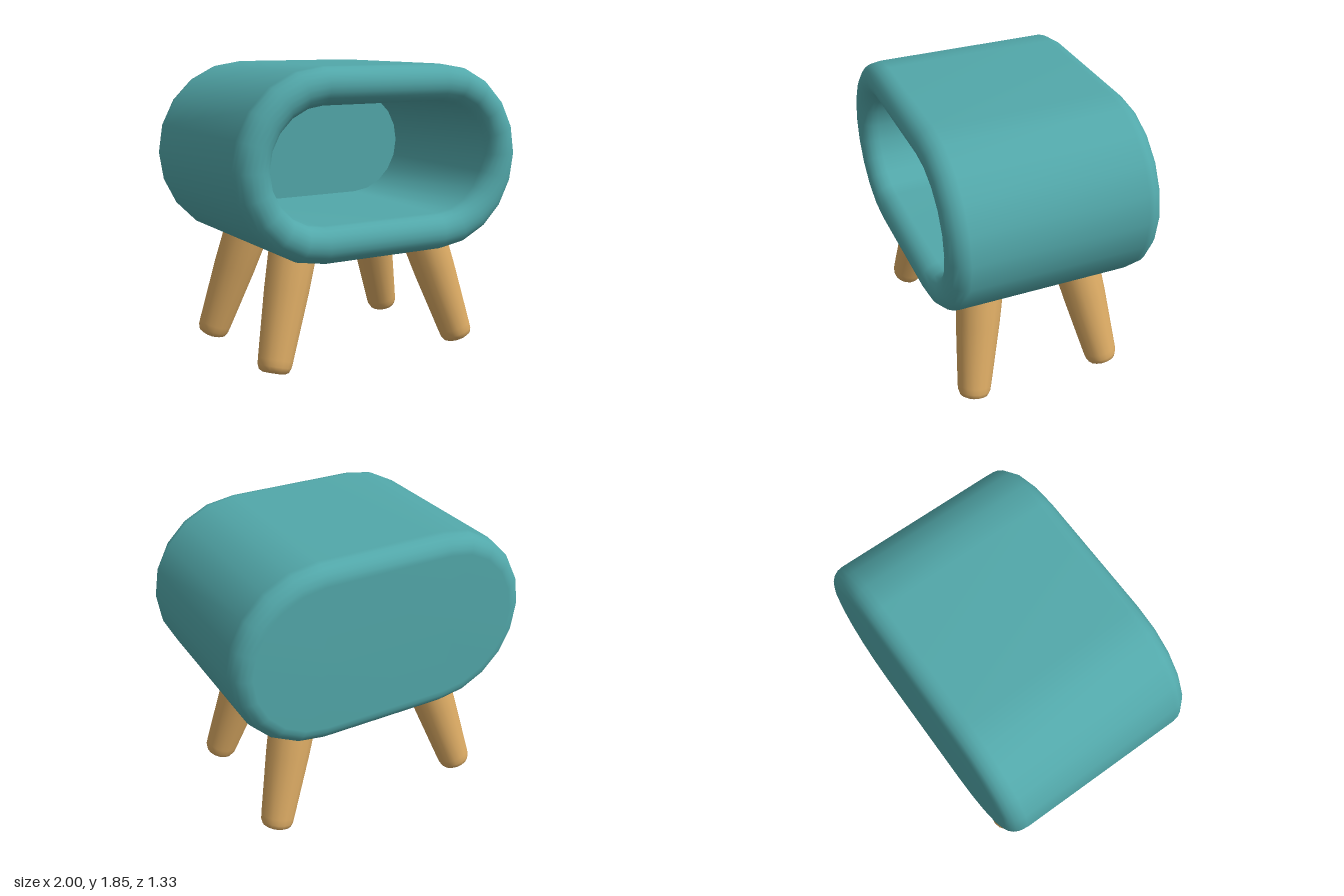
import * as THREE from 'three';

const teal = new THREE.MeshStandardMaterial({ color: 0x52a8aa });
teal.name = 'teal';
const wood = new THREE.MeshStandardMaterial({ color: 0xdcab64 });
wood.name = 'wood';

const CENTER_Y = 1.272; // height of the body's axis
const HALF_FLAT = 0.417; // half length of the flat top and bottom
const ARC_STEPS = 10; // facets on each rounded end

// Joins stadium-shaped rings, one for each [radius, z] of the profile
function stadiumLoft(profile) {
  const positions = [], indices = [];
  const n = 2 * (ARC_STEPS + 1);
  for (const [r, z] of profile) {
    for (const side of [1, -1]) {
      for (let i = 0; i <= ARC_STEPS; i++) {
        const a = (i / ARC_STEPS - 0.5) * Math.PI;
        positions.push(side * (HALF_FLAT + r * Math.cos(a)), CENTER_Y + side * r * Math.sin(a), z);
      }
    }
  }
  for (let j = 0; j < profile.length - 1; j++) {
    for (let i = 0; i < n; i++) {
      const a = j * n + i, b = j * n + (i + 1) % n;
      indices.push(a, b, a + n, b, b + n, a + n);
    }
  }
  const geometry = new THREE.BufferGeometry();
  geometry.setAttribute('position', new THREE.Float32BufferAttribute(positions, 3));
  geometry.setIndex(indices);
  geometry.computeVertexNormals();
  return geometry;
}

// Points of an arc in the profile plane
function arc(r, z, radius, from, to, steps) {
  return Array.from({ length: steps + 1 }, (_, i) => {
    const a = from + (to - from) * i / steps;
    return [r + radius * Math.cos(a), z + radius * Math.sin(a)];
  });
}

function addMesh(parent, name, geometry, material) {
  const mesh = new THREE.Mesh(geometry, material);
  mesh.name = name;
  parent.add(mesh);
  return mesh;
}

export function createModel() {
  const model = new THREE.Group();
  model.name = 'cubbyStool';

  // Hollow body: flat back, rounded back edge, outer wall, round front rim, inner wall
  const outer = 0.583, inner = 0.355, depth = 0.665, innerBack = -0.437;
  const round = (outer - inner) / 2;
  const mid = (outer + inner) / 2;
  addMesh(model, 'bodyShell', stadiumLoft([
    [0, -depth],
    ...arc(mid, -depth + round, round, -Math.PI / 2, 0, 5),
    ...arc(mid, depth - round, round, 0, Math.PI, 10),
    [inner, innerBack],
  ]), teal);
  addMesh(model, 'innerBackWall', stadiumLoft([[inner, innerBack], [0, innerBack]]), teal);

  // Four splayed, tapered legs with softened feet
  const legProfile = [
    [0, 0], [0.07, 0], [0.092, 0.012], [0.104, 0.04], [0.108, 0.08],
    [0.138, 0.5], [0.148, 0.72], [0.148, 0.86], [0, 0.86],
  ].map(([x, y]) => new THREE.Vector2(x, y));
  const legGeometry = new THREE.LatheGeometry(legProfile, 16);
  const up = new THREE.Vector3(0, 1, 0);
  for (const sx of [1, -1]) {
    for (const sz of [1, -1]) {
      const name = (sz > 0 ? 'front' : 'back') + (sx > 0 ? 'Left' : 'Right') + 'Leg';
      const leg = addMesh(model, name, legGeometry, wood);
      leg.position.set(sx * 0.695, 0.025, sz * 0.46 - 0.02);
      const axis = new THREE.Vector3(-sx * 0.295, 1, -sz * 0.185).normalize();
      leg.quaternion.setFromUnitVectors(up, axis);
    }
  }
  return model;
}
